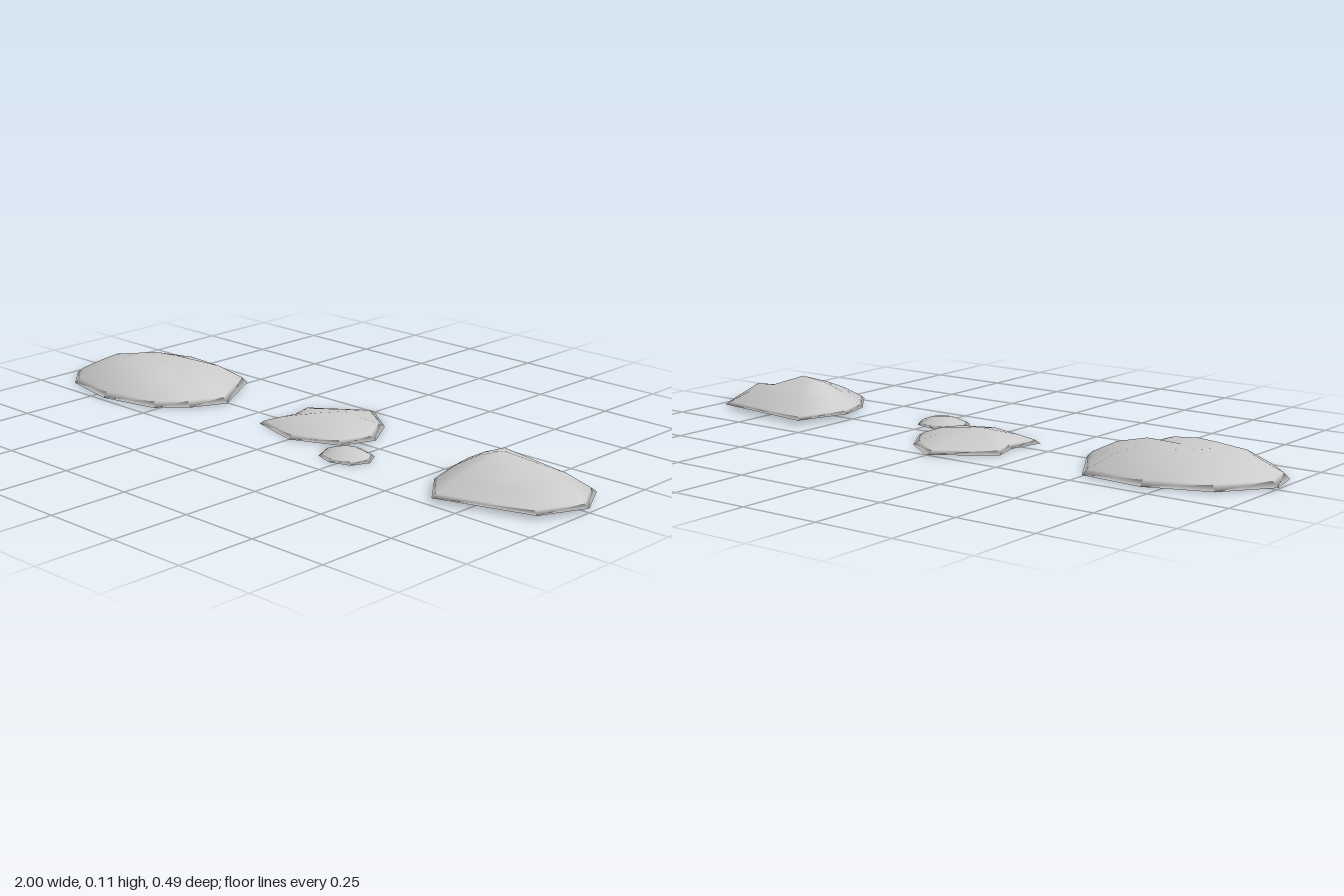
import * as THREE from 'three';

const material = new THREE.MeshStandardMaterial({ color: 0xcccccc });

// Low mound: the ground outline [x, z] shrinks ring by ring toward the summit [x, y, z].
// Each ring is [scale, height] where height is one number or one per outline corner.
function mound({ name, outline, base, rings, summit }) {
  const [cx, cy, cz] = summit;
  const n = outline.length;
  const positions = [];
  const index = [];
  const levels = [[1, base], ...rings];

  for (const [scale, height] of levels) {
    outline.forEach(([x, z], i) => {
      const y = Array.isArray(height) ? height[i] : height;
      positions.push(cx + (x - cx) * scale, y, cz + (z - cz) * scale);
    });
  }
  const top = positions.length / 3;
  positions.push(cx, cy, cz, cx, base, cz);

  for (let i = 0; i < n; i++) {
    const j = (i + 1) % n;
    for (let r = 0; r < levels.length - 1; r++) {
      const a = r * n + i, b = r * n + j;
      index.push(b, a, a + n, b, a + n, b + n);
    }
    // cap at the summit and flat underside
    const last = (levels.length - 1) * n;
    index.push(last + j, last + i, top);
    index.push(i, j, top + 1);
  }

  const geometry = new THREE.BufferGeometry();
  geometry.setAttribute('position', new THREE.Float32BufferAttribute(positions, 3));
  geometry.setIndex(index);
  geometry.computeVertexNormals();
  const mesh = new THREE.Mesh(geometry, material);
  mesh.name = name;
  return mesh;
}

const mounds = [
  // broad flat-topped rock with a small dent at its front left
  {
    name: 'broadRock',
    outline: [[-1, 0.01], [-0.89, -0.135], [-0.7, -0.205], [-0.5, -0.19], [-0.38, 0.01],
      [-0.43, 0.12], [-0.505, 0.2], [-0.7, 0.24], [-0.89, 0.2], [-0.975, 0.12]],
    base: 0.003,
    rings: [
      [0.94, 0.02],
      [0.68, [0.06, 0.06, 0.06, 0.06, 0.06, 0.04, 0.058, 0.06, 0.06, 0.06]],
      [0.36, [0.083, 0.083, 0.08, 0.085, 0.083, 0.072, 0.08, 0.084, 0.084, 0.083]],
    ],
    summit: [-0.69, 0.08, 0.02],
  },
  // thin jagged rock in the middle
  {
    name: 'jaggedRock',
    outline: [[0, -0.25], [0.12, -0.165], [0.19, -0.05], [0.15, 0.055], [0, 0.12],
      [-0.17, 0.075], [-0.145, -0.035], [-0.17, -0.125]],
    base: 0,
    rings: [
      [0.9, 0.011],
      [0.62, [0.022, 0.03, 0.032, 0.03, 0.028, 0.026, 0.026, 0.024]],
    ],
    summit: [-0.02, 0.045, -0.02],
  },
  // pebble
  {
    name: 'pebble',
    outline: [[0.225, 0.04], [0.285, 0.058], [0.315, 0.11], [0.29, 0.165],
      [0.225, 0.185], [0.165, 0.165], [0.14, 0.11], [0.165, 0.06]],
    base: 0,
    rings: [[0.85, 0.008], [0.5, 0.02]],
    summit: [0.228, 0.025, 0.112],
  },
  // tall rock with a lower shoulder on its left
  {
    name: 'peakedRock',
    outline: [[0.58, -0.165], [0.935, -0.12], [1, 0], [0.935, 0.14],
      [0.65, 0.23], [0.555, 0.11], [0.525, 0]],
    base: 0.012,
    rings: [
      [0.94, 0.022],
      [0.68, [0.066, 0.058, 0.065, 0.05, 0.055, 0.06, 0.056]],
      [0.38, [0.09, 0.08, 0.066, 0.068, 0.083, 0.09, 0.088]],
    ],
    summit: [0.72, 0.11, 0.015],
  },
];

export function createModel() {
  const group = new THREE.Group();
  group.name = 'rocks';
  mounds.forEach((m) => group.add(mound(m)));
  return group;
}
